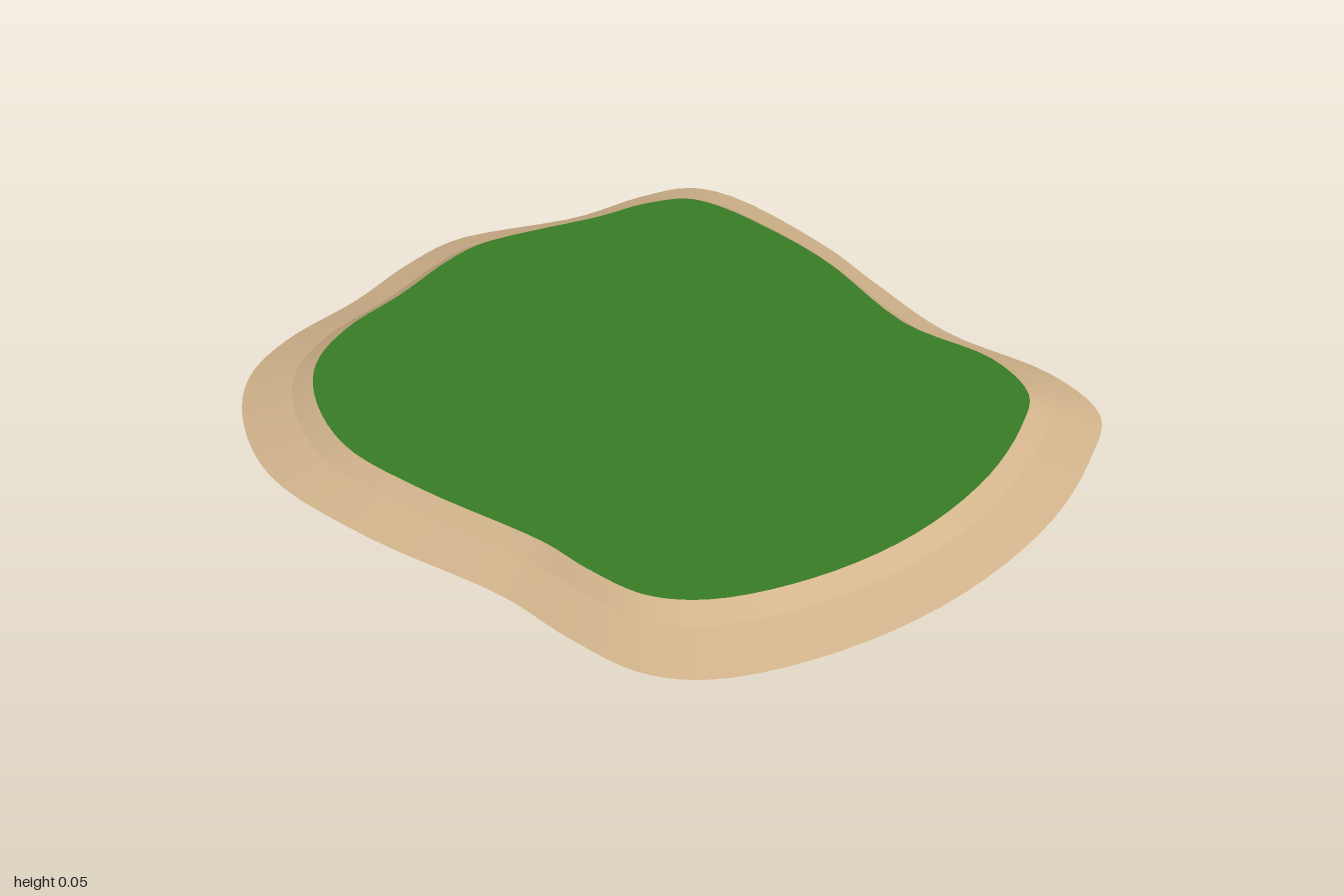
import * as THREE from 'three';

const SEGMENTS = 120;
const TOP = 0.054, SHOULDER = 0.029;

// Shoreline and grass edge as matching x, z pairs, clockwise from the back
const SHORE = [
  0, -0.99, 0.12, -0.95, 0.39, -0.67, 0.51, -0.49, 0.68, -0.26, 0.91, -0.09, 1.0, 0.07, 0.95, 0.25,
  0.83, 0.48, 0.62, 0.72, 0.38, 0.89, 0.14, 0.98, 0, 0.97, -0.15, 0.88, -0.29, 0.77, -0.6, 0.6,
  -0.85, 0.41, -0.97, 0.2, -1.0, 0.02, -0.95, -0.14, -0.82, -0.33, -0.72, -0.52, -0.61, -0.66,
  -0.3, -0.8, -0.13, -0.93,
];
const GRASS = [
  0, -0.825, 0.09, -0.79, 0.28, -0.62, 0.39, -0.49, 0.57, -0.21, 0.76, -0.07, 0.83, 0.07, 0.8, 0.2,
  0.7, 0.4, 0.53, 0.6, 0.33, 0.74, 0.13, 0.815, 0, 0.81, -0.12, 0.74, -0.22, 0.66, -0.5, 0.5,
  -0.69, 0.36, -0.8, 0.18, -0.83, 0.03, -0.79, -0.12, -0.69, -0.28, -0.6, -0.45, -0.52, -0.55,
  -0.23, -0.71, -0.11, -0.79,
];

// Smooth closed ring through the pairs
function ring(pairs, y) {
  const points = [];
  for (let i = 0; i < pairs.length; i += 2) points.push(new THREE.Vector3(pairs[i], y, pairs[i + 1]));
  const curve = new THREE.CatmullRomCurve3(points, true, 'centripetal');
  return Array.from({ length: SEGMENTS }, (_, i) => curve.getPoint(i / SEGMENTS));
}

// Sloping strip between two rings
function band(lower, upper) {
  const n = lower.length, index = [];
  for (let i = 0; i < n; i++) {
    const j = (i + 1) % n;
    index.push(i, n + i, n + j, i, n + j, j);
  }
  const geometry = new THREE.BufferGeometry().setFromPoints([...lower, ...upper]);
  geometry.setIndex(index);
  geometry.computeVertexNormals();
  return geometry;
}

// Flat face filling a ring, turned up (1) or down (-1)
function cap(points, facing) {
  const shape = new THREE.Shape(points.map(p => new THREE.Vector2(p.x, -facing * p.z)));
  return new THREE.ShapeGeometry(shape).rotateX(-facing * Math.PI / 2).translate(0, points[0].y, 0);
}

export function createModel() {
  const sand = new THREE.MeshStandardMaterial({ name: 'sand', color: 0xd2b48c });
  const grass = new THREE.MeshStandardMaterial({ name: 'grass', color: 0x397d26 });

  const shore = ring(SHORE, 0);
  const edge = ring(GRASS, TOP);
  const shoulder = edge.map((p, i) => p.clone().lerp(shore[i], 0.3).setY(SHOULDER));

  const group = new THREE.Group();
  group.name = 'island';
  const add = (name, geometry, material) => {
    const mesh = new THREE.Mesh(geometry, material);
    mesh.name = name;
    group.add(mesh);
  };
  add('beach', band(shore, shoulder), sand);
  add('bank', band(shoulder, edge), sand);
  add('grassTop', cap(edge, 1), grass);
  add('underside', cap(shore, -1), sand);
  return group;
}
